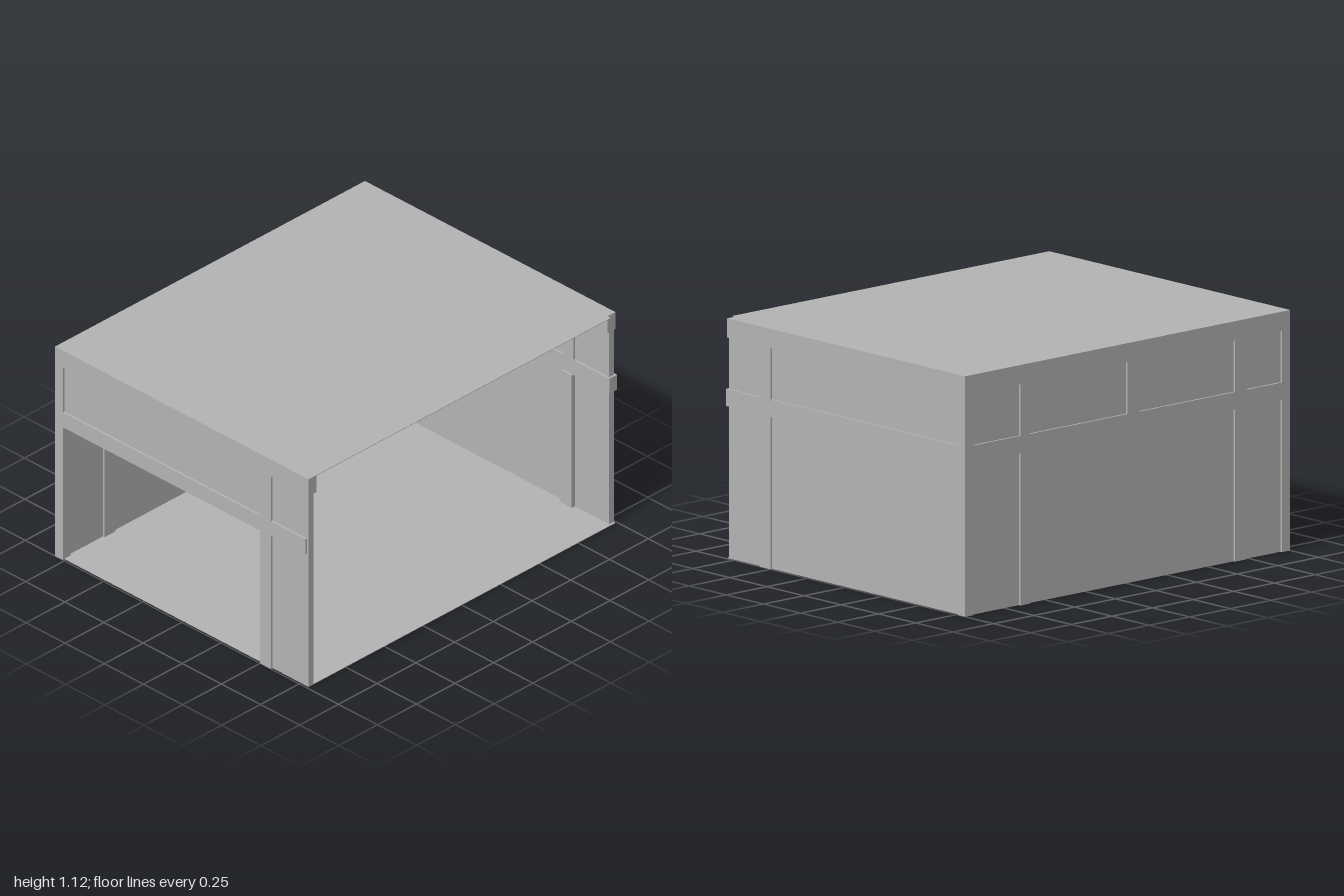
import * as THREE from 'three';

// Levels shared by every wall
const MID0 = 0.71, MID1 = 0.79, TOP0 = 1.03, TOP = 1.12;

const grey = new THREE.MeshStandardMaterial({ color: 0xb3b3b3 });
grey.name = 'wall grey';

function add(parent, name, geometry) {
  const mesh = new THREE.Mesh(geometry, grey);
  mesh.name = name;
  parent.add(mesh);
  return mesh;
}

// Box given by its minimum and maximum corners
function block(parent, name, x0, x1, y0, y1, z0, z1) {
  const mesh = add(parent, name, new THREE.BoxGeometry(x1 - x0, y1 - y0, z1 - z0));
  mesh.position.set((x0 + x1) / 2, (y0 + y1) / 2, (z0 + z1) / 2);
  return mesh;
}

const outline = (points) => new THREE.Shape(points.map(([x, y]) => new THREE.Vector2(x, y)));

function cutRect(shape, x0, x1, y0, y1) {
  shape.holes.push(new THREE.Path([[x0, y0], [x0, y1], [x1, y1], [x1, y0]]
    .map(([x, y]) => new THREE.Vector2(x, y))));
}

const extrude = (shape, depth) =>
  new THREE.ExtrudeGeometry(shape, { depth, bevelEnabled: false });

// Timber frame of an end wall: corner post, inner post, middle rail and top rail
function endFrame(midEnd, topEnd) {
  const shape = outline([
    [-0.81, 0], [-0.76, 0], [-0.76, MID0], [0.5, MID0], [0.5, 0], [0.57, 0],
    [0.57, MID0], [midEnd, MID0], [midEnd, MID1], [0.57, MID1],
    [0.57, TOP0], [topEnd, TOP0], [topEnd, TOP], [-0.81, TOP],
  ]);
  cutRect(shape, -0.76, 0.5, MID1, TOP0);
  return extrude(shape, 0.05);
}

// Frame of the long wall, drawn in (z, y); lower bays are open at the bottom
function sideFrame() {
  const posts = [[-0.66, -0.6], [0.66, 0.73]];
  const points = [[-0.99, 0], [-0.95, 0], [-0.95, MID0]];
  for (const [a, b] of posts) points.push([a, MID0], [a, 0], [b, 0], [b, MID0]);
  points.push([0.95, MID0], [0.95, 0], [0.99, 0], [0.99, TOP], [-0.99, TOP]);
  const shape = outline(points);
  const bays = [[-0.95, -0.66], [-0.6, 0], [0.07, 0.66], [0.73, 0.95]];
  for (const [a, b] of bays) cutRect(shape, a, b, MID1, TOP0);
  return extrude(shape, 0.05).rotateY(-Math.PI / 2);
}

export function createModel() {
  const model = new THREE.Group();
  model.name = 'room';

  // Floor and roof
  block(model, 'floor', -0.8, 0.8, 0, 0.003, -0.99, 0.99);
  block(model, 'roof', -0.81, 0.81, TOP - 0.003, TOP, -0.95, 0.95);

  // Front wall with a wide opening
  const front = new THREE.Group();
  front.name = 'frontWall';
  add(front, 'frontFrame', endFrame(0.79, 0.81)).position.z = 0.95;
  const panel = outline([
    [0.53, 0.003], [0.8, 0.003], [0.8, 1.1], [-0.79, 1.1], [-0.79, 0.75], [0.53, 0.75],
  ]);
  add(front, 'frontPanel', extrude(panel, 0.03)).position.z = 0.96;
  model.add(front);

  // Closed back wall
  const back = new THREE.Group();
  back.name = 'backWall';
  add(back, 'backFrame', endFrame(0.8, 0.79)).position.z = -1;
  block(back, 'backPanel', -0.79, 0.79, 0.003, 1.1, -0.99, -0.96);
  block(back, 'backPostFacing', 0.5, 0.57, 0, MID0, -0.95, -0.94);
  model.add(back);

  // Closed long wall; the opposite side stays open
  const side = new THREE.Group();
  side.name = 'sideWall';
  add(side, 'sideFrame', sideFrame()).position.x = -0.76;
  block(side, 'sidePanel', -0.8, -0.77, 0.003, 1.1, -0.98, 0.98);
  model.add(side);

  return model;
}
